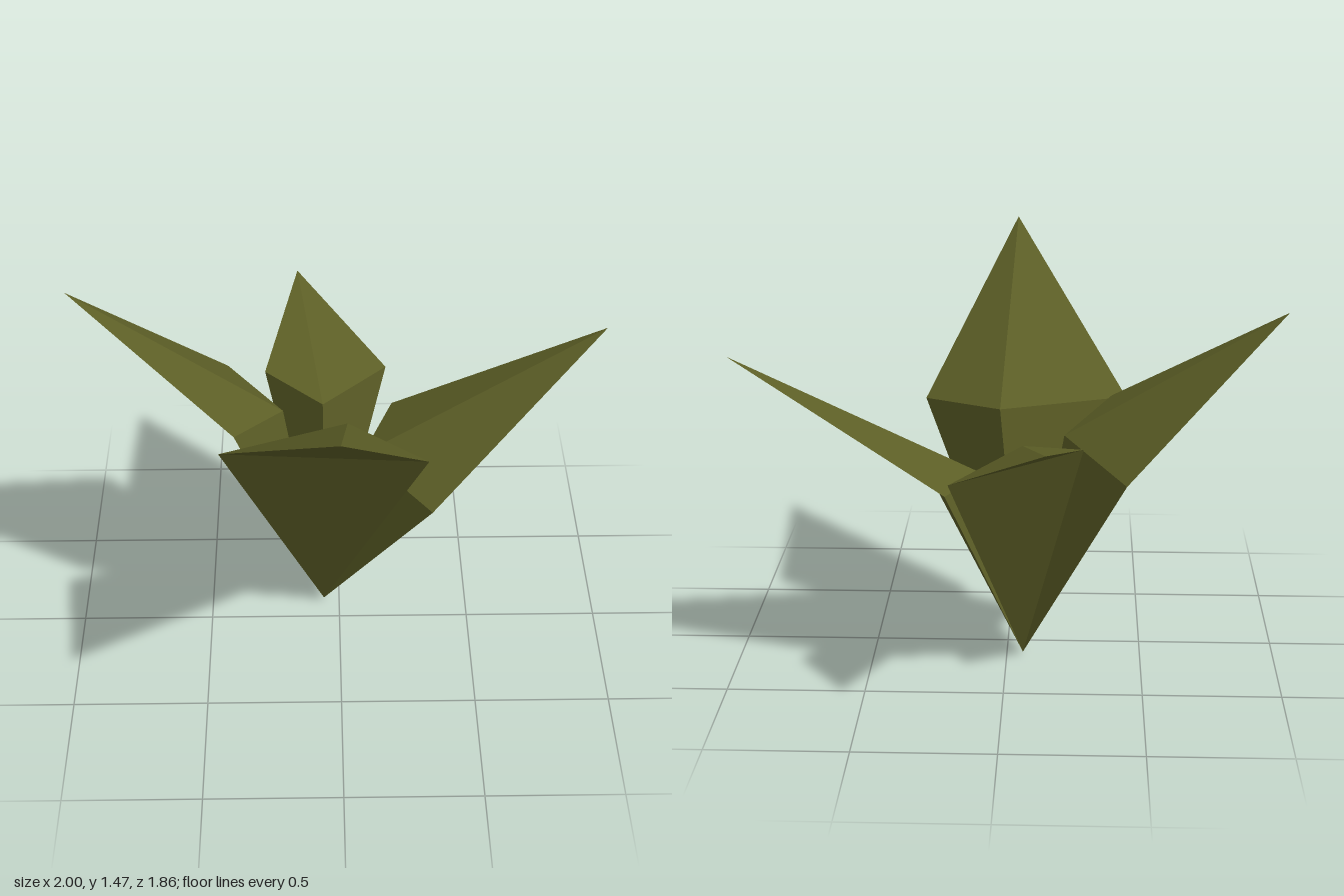
import * as THREE from 'three';

// Shared point at the foot where all four leaves meet
const BASE = [-0.06, 0, -0.115];

// Each leaf: corners as seen from outside, the raised inner fold, and the tip
const LEAVES = [
  { name: 'frontLeaf', left: [-0.44, 0.92, 0.19], right: [0.32, 0.9, 0.22], fold: [0.03, 0.92, 0], tip: [-0.01, 1.47, 0.93] },
  { name: 'leftLeaf', left: [0.34, 0.655, 0.2], right: [0.21, 0.72, -0.43], fold: [0.09, 0.705, -0.11], tip: [1, 1.175, -0.24] },
  { name: 'backLeaf', left: [0.19, 0.805, -0.56], right: [-0.28, 0.89, -0.4], fold: [-0.06, 0.85, -0.23], tip: [-0.155, 1.03, -0.93] },
  { name: 'rightLeaf', left: [-0.43, 0.81, -0.57], right: [-0.385, 0.945, 0.12], fold: [-0.21, 0.87, -0.16], tip: [-1, 1.35, -0.23] },
];

// Closed leaf: a three-corner ring joined down to the base and out to the tip
function leafGeometry({ left, right, fold, tip }) {
  const ring = [left, right, fold];
  const positions = [];
  ring.forEach((a, i) => {
    const b = ring[(i + 1) % 3];
    positions.push(...tip, ...a, ...b, ...BASE, ...b, ...a);
  });
  const geometry = new THREE.BufferGeometry();
  geometry.setAttribute('position', new THREE.Float32BufferAttribute(positions, 3));
  geometry.computeVertexNormals(); // unshared corners give flat faces
  return geometry;
}

export function createModel() {
  const group = new THREE.Group();
  group.name = 'plant';
  const olive = new THREE.MeshStandardMaterial({ color: 0x5c5e26 });
  olive.name = 'olive green';

  for (const leaf of LEAVES) {
    const mesh = new THREE.Mesh(leafGeometry(leaf), olive);
    mesh.name = leaf.name;
    group.add(mesh);
  }
  return group;
}
